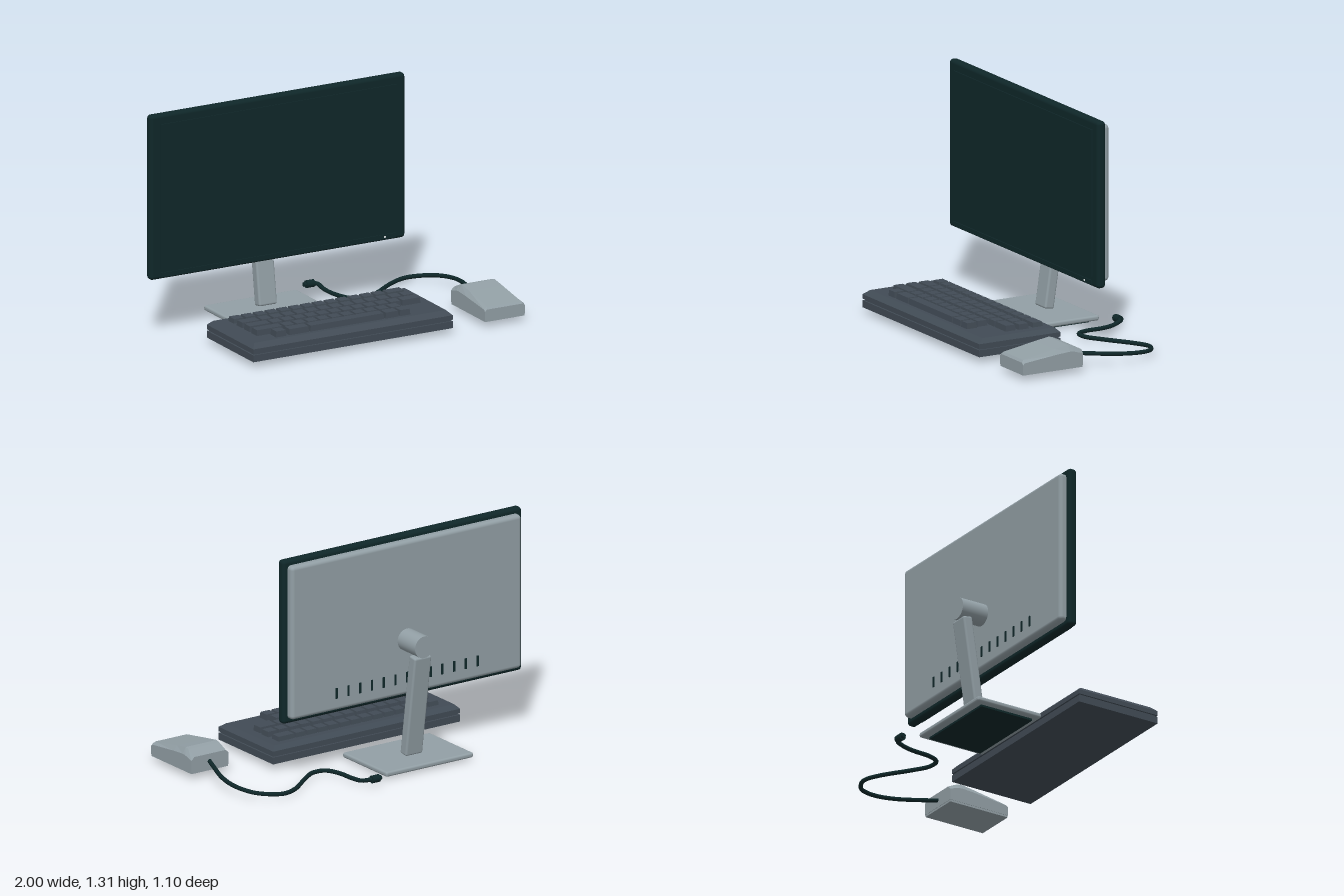
import * as THREE from 'three';
import { RoundedBoxGeometry } from 'three/addons/geometries/RoundedBoxGeometry.js';

const mat = (name, color) => Object.assign(new THREE.MeshStandardMaterial({ color }), { name });

// Box whose top face is drawn in on each side
function taperedBox(w, h, d, inX, inFront = inX, inBack = inX) {
  const g = new THREE.BoxGeometry(w, h, d);
  const p = g.attributes.position;
  for (let i = 0; i < p.count; i++) {
    if (p.getY(i) < 0) continue;
    p.setX(i, p.getX(i) - Math.sign(p.getX(i)) * inX);
    p.setZ(i, p.getZ(i) + (p.getZ(i) > 0 ? -inFront : inBack));
  }
  g.computeVertexNormals();
  return g;
}

// Faceted hull through matching rings, ordered front to back
function loft(rings) {
  const pos = [];
  const tri = (...pts) => pts.forEach((p) => pos.push(...p));
  const n = rings[0].length;
  for (let r = 0; r < rings.length - 1; r++) {
    const a = rings[r], b = rings[r + 1];
    for (let j = 0; j < n; j++) {
      const k = (j + 1) % n;
      tri(a[j], b[j], a[k]);
      tri(a[k], b[j], b[k]);
    }
  }
  const first = rings[0], last = rings[rings.length - 1];
  for (let j = 1; j < n - 1; j++) {
    tri(first[0], first[j], first[j + 1]);
    tri(last[0], last[j + 1], last[j]);
  }
  const g = new THREE.BufferGeometry();
  g.setAttribute('position', new THREE.Float32BufferAttribute(pos, 3));
  g.computeVertexNormals();
  return g;
}

export function createModel() {
  const dark = mat('dark teal plastic', 0x0f2729);
  const grey = mat('grey plastic', 0x929fa5);
  const slate = mat('slate plastic', 0x414b55);
  const white = mat('indicator white', 0xe8eeee);

  const root = new THREE.Group();
  const group = (name) => {
    const g = new THREE.Group();
    g.name = name;
    root.add(g);
    return g;
  };
  const add = (parent, name, geo, material, x = 0, y = 0, z = 0) => {
    const m = new THREE.Mesh(geo, material);
    m.name = name;
    m.position.set(x, y, z);
    parent.add(m);
    return m;
  };
  const rbox = (w, h, d, r) => new RoundedBoxGeometry(w, h, d, 3, r);

  // Monitor
  const cx = -0.186;
  const monitor = group('monitor');
  add(monitor, 'bezel', rbox(1.63, 0.96, 0.054, 0.02), dark, cx, 0.83, -0.189);
  add(monitor, 'screen', new THREE.BoxGeometry(1.51, 0.845, 0.008), dark, cx, 0.8325, -0.16);
  add(monitor, 'controlStrip', new THREE.BoxGeometry(1.5, 0.026, 0.008), dark, cx, 0.376, -0.16);
  add(monitor, 'powerLight', new THREE.BoxGeometry(0.01, 0.01, 0.004), white, 0.494, 0.376, -0.155);
  add(monitor, 'backPanel', rbox(1.57, 0.9, 0.07, 0.022), grey, cx, 0.83, -0.222);
  for (let i = -6; i <= 6; i++) {
    add(monitor, 'ventSlot', new THREE.BoxGeometry(0.013, 0.062, 0.008), dark, cx + i * 0.08, 0.482, -0.257);
  }

  // Stand
  const stand = group('stand');
  const hub = add(stand, 'hub', new THREE.CylinderGeometry(0.064, 0.064, 0.175, 32), grey, cx, 0.704, -0.3375);
  hub.rotation.x = Math.PI / 2;
  const arm = add(stand, 'arm', rbox(0.116, 0.605, 0.06, 0.012), grey, cx, 0.347, -0.343);
  arm.rotation.x = -0.148;
  add(stand, 'base', rbox(0.595, 0.03, 0.425, 0.012), grey, cx, 0.027, -0.267);
  add(stand, 'footPad', new THREE.BoxGeometry(0.52, 0.014, 0.34), dark, cx, 0.007, -0.264);

  // Keyboard case
  const keyboard = group('keyboard');
  const kx = -0.108, kz = 0.283;
  add(keyboard, 'lowerCase', new THREE.BoxGeometry(1.275, 0.04, 0.525), slate, kx, 0.052, kz);
  add(keyboard, 'caseSeam', new THREE.BoxGeometry(1.255, 0.012, 0.505), slate, kx, 0.076, kz);
  add(keyboard, 'upperCase', new THREE.BoxGeometry(1.275, 0.026, 0.525), slate, kx, 0.094, kz);
  add(keyboard, 'caseTop', taperedBox(1.275, 0.025, 0.525, 0.025, 0.035, 0.025), slate, kx, 0.1195, kz);

  // Key rows: centre z, top height, start x, then key pitches (negative leaves a gap)
  const u = 0.0755;
  const run = (n) => Array(n).fill(u);
  const rows = [
    [0.118, 0.158, -0.65, [...run(13), 0.12]],
    [0.212, 0.162, -0.65, [0.125, ...run(13)]],
    [0.294, 0.164, -0.65, [0.147, ...run(11), 0.125]],
    [0.377, 0.164, -0.65, [0.178, ...run(10)]],
    [0.452, 0.165, -0.57, [u, -0.01, 0.135, 0.48, 0.092, u]],
  ];
  for (const [z, top, start, widths] of rows) {
    let x = start;
    for (const w of widths) {
      if (w > 0) add(keyboard, 'key', taperedBox(w - 0.008, top - 0.128, 0.066, 0.004), slate, x + w / 2, (top + 0.128) / 2, z);
      x += Math.abs(w);
    }
  }

  // Mouse: z, shoulder height, top height, top inset
  const mouse = group('mouse');
  const mx = 0.868, hw = 0.127;
  const sections = [
    [0.537, 0.09, 0.102, 0.012],
    [0.525, 0.1, 0.115, 0.02],
    [0.32, 0.122, 0.15, 0.022],
    [0.235, 0.128, 0.163, 0.022],
    [0.21, 0.126, 0.157, 0.022],
    [0.15, 0.108, 0.128, 0.02],
  ];
  add(mouse, 'mouseBody', loft(sections.map(([z, ys, yt, i]) => [
    [-hw, 0.042, z], [hw, 0.042, z], [hw, ys, z], [hw - i, yt, z], [i - hw, yt, z], [-hw, ys, z],
  ])), grey, mx);
  add(mouse, 'mouseBottom', new THREE.BoxGeometry(0.25, 0.012, 0.383), grey, mx, 0.036, 0.3435);

  // Cable and plug
  const cable = group('cable');
  const path = [
    [0.868, 0.085, 0.16], [0.895, 0.077, 0.08], [0.945, 0.063, -0.08], [0.952, 0.052, -0.21],
    [0.91, 0.04, -0.325], [0.84, 0.032, -0.382], [0.76, 0.026, -0.405], [0.66, 0.022, -0.37],
    [0.51, 0.024, -0.26], [0.42, 0.025, -0.205], [0.34, 0.024, -0.21], [0.3, 0.022, -0.28],
    [0.282, 0.018, -0.4], [0.275, 0.024, -0.47], [0.266, 0.04, -0.52], [0.24, 0.042, -0.528],
  ].map((p) => new THREE.Vector3(...p));
  add(cable, 'cord', new THREE.TubeGeometry(new THREE.CatmullRomCurve3(path), 90, 0.0125, 8), dark);
  const plug = add(cable, 'plug', new THREE.CylinderGeometry(0.022, 0.022, 0.05, 12), dark, 0.225, 0.042, -0.53);
  const tip = add(cable, 'plugTip', new THREE.CylinderGeometry(0.013, 0.013, 0.016, 12), dark, 0.193, 0.042, -0.53);
  plug.rotation.z = tip.rotation.z = Math.PI / 2;

  return root;
}
